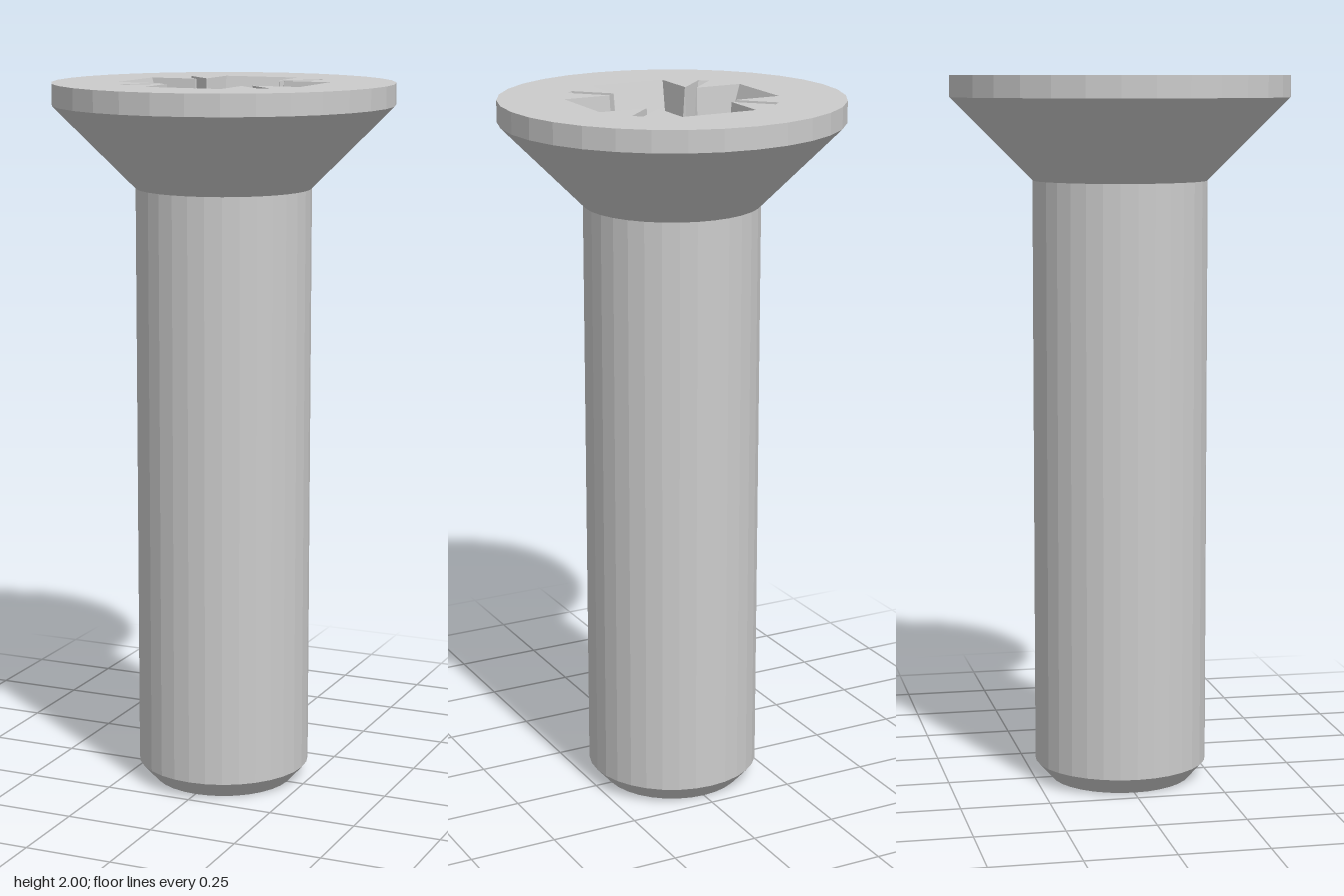
import * as THREE from 'three';
import { mergeGeometries } from 'three/addons/utils/BufferGeometryUtils.js';

const SIDES = 32, TOP = 2, DEPTH = 0.25, SLOT_DEPTH = 0.11;
const FLOOR = TOP - DEPTH, SLOT_FLOOR = TOP - SLOT_DEPTH;
const CORE_TOP = 0.174, CORE_LOW = 0.157;
const CORE_MID = CORE_TOP + (CORE_LOW - CORE_TOP) * SLOT_DEPTH / DEPTH;

// Recess face turned towards the middle of the opening
function quad(...p) {
  const centre = p.reduce((s, v) => s.add(v), new THREE.Vector3()).divideScalar(4);
  const normal = p[2].clone().sub(p[0]).cross(p[3].clone().sub(p[1]));
  if (normal.dot(new THREE.Vector3(0, TOP, 0).sub(centre)) < 0) p.reverse();
  const g = new THREE.BufferGeometry().setFromPoints([p[0], p[1], p[2], p[0], p[2], p[3]]);
  g.computeVertexNormals();
  return g;
}

// Point of an arm (along +x) or of a slot (along the diagonal)
const arm = (r, s, y) => new THREE.Vector3(r, y, s);
const slot = (r, s, y) => arm(r, s, y).applyAxisAngle(new THREE.Vector3(0, 1, 0), -Math.PI / 4);
const chord = (r, s) => Math.sqrt(r * r - s * s);

// Half widths and reaches at the rim and at the floor
const A = { w0: 0.11, w1: 0.09, r0: 0.27, r1: 0.187 };
const S = { w0: 0.0155, w1: 0.012, r0: 0.295, r1: 0.255 };
const armIn0 = chord(CORE_TOP, A.w0), armIn1 = chord(CORE_LOW, A.w1);
const slotIn0 = chord(CORE_TOP, S.w0), slotIn1 = chord(CORE_MID, S.w1);

function quarterWalls() {
  const faces = [
    // arm end and slot end
    quad(arm(A.r0, -A.w0, TOP), arm(A.r0, A.w0, TOP), arm(A.r1, A.w1, FLOOR), arm(A.r1, -A.w1, FLOOR)),
    quad(slot(S.r0, -S.w0, TOP), slot(S.r0, S.w0, TOP), slot(S.r1, S.w1, SLOT_FLOOR), slot(S.r1, -S.w1, SLOT_FLOOR)),
    // slot floor
    quad(slot(S.r1, -S.w1, SLOT_FLOOR), slot(S.r1, S.w1, SLOT_FLOOR),
      slot(slotIn1, S.w1, SLOT_FLOOR), slot(slotIn1, -S.w1, SLOT_FLOOR)),
  ];
  for (const k of [-1, 1]) {
    faces.push(
      quad(arm(armIn0, k * A.w0, TOP), arm(A.r0, k * A.w0, TOP),
        arm(A.r1, k * A.w1, FLOOR), arm(armIn1, k * A.w1, FLOOR)),
      quad(slot(slotIn0, k * S.w0, TOP), slot(S.r0, k * S.w0, TOP),
        slot(S.r1, k * S.w1, SLOT_FLOOR), slot(slotIn1, k * S.w1, SLOT_FLOOR)));
  }
  // core wall beside and below the slot
  const rim = [arm(armIn0, A.w0, TOP), arm(A.w0, armIn0, TOP)];
  const low = [arm(armIn1, A.w1, FLOOR), arm(A.w1, armIn1, FLOOR)];
  const mouth = [slot(slotIn1, -S.w1, SLOT_FLOOR), slot(slotIn1, S.w1, SLOT_FLOOR)];
  [-1, 1].forEach((k, i) => faces.push(quad(rim[i], slot(slotIn0, k * S.w0, TOP), mouth[i], low[i])));
  faces.push(quad(mouth[0], mouth[1], low[1], low[0]));
  return mergeGeometries(faces);
}

// Flat arm floor reaching in to the core circle
function armFloor() {
  const a = Math.atan2(A.w1, armIn1);
  const shape = new THREE.Shape();
  shape.moveTo(A.r1, -A.w1);
  shape.lineTo(A.r1, A.w1);
  shape.lineTo(armIn1, A.w1);
  shape.absarc(0, 0, CORE_LOW, a, -a, true);
  return new THREE.ShapeGeometry(shape, 8).rotateX(-Math.PI / 2).translate(0, FLOOR, 0);
}

// Head face with the recess outline cut out
function headFace() {
  const circle = [], outline = [];
  for (let i = 0; i < SIDES; i++) {
    const a = i / SIDES * Math.PI * 2;
    circle.push(new THREE.Vector2(0.475 * Math.cos(a), 0.475 * Math.sin(a)));
  }
  const quarter = [
    arm(armIn0, -A.w0, 0), arm(A.r0, -A.w0, 0), arm(A.r0, A.w0, 0), arm(armIn0, A.w0, 0),
    slot(slotIn0, -S.w0, 0), slot(S.r0, -S.w0, 0), slot(S.r0, S.w0, 0), slot(slotIn0, S.w0, 0),
  ];
  for (let i = 0; i < 4; i++) {
    for (const p of quarter) {
      outline.push(new THREE.Vector2(p.x, p.z).rotateAround(new THREE.Vector2(), i * Math.PI / 2));
    }
  }
  const shape = new THREE.Shape(circle);
  shape.holes.push(new THREE.Path(outline));
  return new THREE.ShapeGeometry(shape).rotateX(-Math.PI / 2).translate(0, TOP, 0);
}

export function createModel() {
  const group = new THREE.Group();
  const material = new THREE.MeshStandardMaterial({
    color: 0xcccccc, flatShading: true, side: THREE.DoubleSide,
  });
  const add = (name, geometry, parent = group) => {
    const mesh = new THREE.Mesh(geometry, material);
    mesh.name = name;
    parent.add(mesh);
    return mesh;
  };
  const lathe = (pts) => new THREE.LatheGeometry(pts.map(([x, y]) => new THREE.Vector2(x, y)), SIDES);

  // Shank with chamfered tip, countersunk head
  add('shank', lathe([[0, 0], [0.2, 0], [0.245, 0.05], [0.245, 1.71]]));
  add('headCone', lathe([[0.245, 1.71], [0.475, 1.94], [0.475, TOP]]));
  add('headFace', headFace());

  // Cross recess with four diagonal slots and a conical bottom
  const recess = new THREE.Group();
  recess.name = 'driveRecess';
  group.add(recess);
  const walls = quarterWalls(), floor = armFloor();
  for (let i = 0; i < 4; i++) {
    add('recessWalls', walls, recess).rotation.y = i * Math.PI / 2;
    add('recessArmFloor', floor, recess).rotation.y = i * Math.PI / 2;
  }
  add('recessCone', lathe([[CORE_LOW, FLOOR], [0, FLOOR - 0.08]]), recess);
  return group;
}
